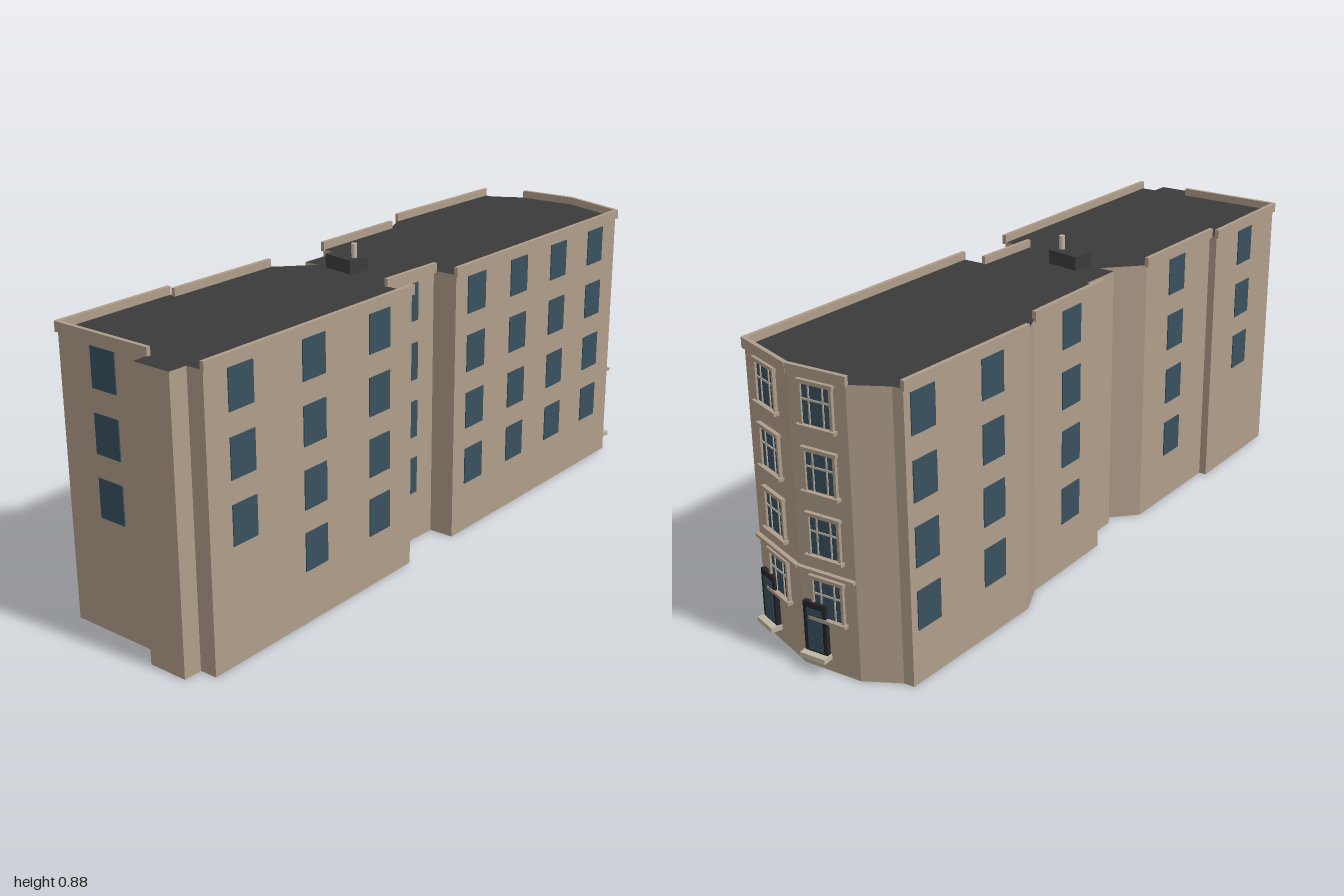
import * as THREE from 'three';

const mat = (name, color, extra = {}) => Object.assign(new THREE.MeshStandardMaterial({ color, ...extra }), { name });

// Footprint corners [x, z], clockwise from above, starting at the back right corner
const PLAN = [
  [-0.385, -0.855], [-0.355, -0.862], [-0.27, -0.93], [-0.10, -0.97], [0.11, -0.937],
  [0.235, -0.075], [0.16, -0.062], [0.183, 0.142], [0.27, 0.132], [0.386, 0.91],
  [0.335, 0.918], [0.342, 0.972], [0.225, 0.99], [0.216, 0.942], [-0.10, 0.99],
  [-0.158, 0.617], [-0.135, 0.613], [-0.187, 0.25], [-0.107, 0.135], [-0.155, 0.142],
  [-0.172, 0.010], [-0.225, 0.012], [-0.273, -0.305], [-0.328, -0.39],
];
const ROOF_Y = 0.803;
const ROWS = [0.732, 0.557, 0.382, 0.207];

export function createModel() {
  const wall = mat('wall stone', 0xb09d8b);
  const dark = mat('roof felt', 0x3b3b3b);
  const glass = mat('window glass', 0x39515f);
  const trim = mat('pale trim', 0xc0b5a4);
  const black = mat('door frame', 0x232527);

  const model = new THREE.Group();
  model.name = 'building';

  const box = (parent, name, material, size, pos) => {
    const m = new THREE.Mesh(new THREE.BoxGeometry(...size), material);
    m.name = name;
    m.position.set(...pos);
    parent.add(m);
    return m;
  };

  // Group on a wall at fraction t: local +z points outward, local x runs along the wall
  const onWall = (edge, t, name) => {
    const [ax, az] = PLAN[edge], [bx, bz] = PLAN[(edge + 1) % PLAN.length];
    const dx = bx - ax, dz = bz - az;
    const g = new THREE.Group();
    g.name = name;
    g.position.set(ax + dx * t, 0, az + dz * t);
    g.rotation.y = Math.atan2(dz, -dx);
    g.userData.length = Math.hypot(dx, dz);
    model.add(g);
    return g;
  };

  // Main block: dark roof and underside, stone walls
  const shape = new THREE.Shape(PLAN.map(([x, z]) => new THREE.Vector2(x, -z)));
  const body = new THREE.ExtrudeGeometry(shape, { depth: ROOF_Y, bevelEnabled: false });
  body.rotateX(-Math.PI / 2);
  const block = new THREE.Mesh(body, [dark, wall]);
  block.name = 'mainBlock';
  model.add(block);

  // Parapets along the principal walls
  for (const edge of [2, 3, 4, 6, 8, 13, 14, 16, 21, 23]) {
    const g = onWall(edge, 0.5, 'parapet');
    box(g, 'parapetWall', wall, [g.userData.length + 0.008, 0.028, 0.012], [0, 0.812, 0.001]);
  }

  // Plain side and front windows: [edge, centre, axis (0 = x, 1 = z), rows]
  const columns = [
    [4, -0.815, 1, 4], [4, -0.602, 1, 4], [4, -0.388, 1, 4], [4, -0.174, 1, 4],
    [6, 0.052, 1, 4],
    [8, 0.27, 1, 4], [8, 0.53, 1, 4], [8, 0.79, 1, 3],
    [13, 0.058, 0, 3],
    [14, 0.80, 1, 3], [16, 0.42, 1, 4], [21, -0.135, 1, 4],
    [23, -0.53, 1, 4], [23, -0.79, 1, 4],
  ];
  for (const [edge, c, axis, rows] of columns) {
    const a = PLAN[edge][axis], b = PLAN[(edge + 1) % PLAN.length][axis];
    const g = onWall(edge, (c - a) / (b - a), 'windowColumn');
    for (const y of ROWS.slice(0, rows)) box(g, 'window', glass, [0.086, 0.11, 0.004], [0, y, 0.001]);
  }

  // Street facade: framed windows, string course, doors and steps on two facets
  for (const [edge, doorT] of [[2, 0.27], [3, 0.76]]) {
    const g = onWall(edge, 0.5, 'facadeFacet');
    box(g, 'stringCourse', wall, [g.userData.length, 0.009, 0.016], [0, 0.282, 0.004]);
    for (const y of ROWS) {
      box(g, 'windowGlass', glass, [0.088, 0.108, 0.004], [0, y, 0.001]);
      for (const s of [-1, 1]) {
        box(g, 'windowJamb', wall, [0.008, 0.116, 0.01], [s * 0.046, y, 0.004]);
        box(g, 'mullion', trim, [0.004, 0.108, 0.005], [s * 0.021, y, 0.003]);
      }
      box(g, 'transom', trim, [0.088, 0.005, 0.005], [0, y + 0.012, 0.003]);
      box(g, 'lintel', wall, [0.108, 0.01, 0.013], [0, y + 0.058, 0.005]);
      box(g, 'sill', wall, [0.114, 0.009, 0.018], [0, y - 0.057, 0.007]);
    }
    const d = onWall(edge, edge === 2 ? 0.73 : doorT, 'entrance');
    box(d, 'doorFrame', black, [0.07, 0.145, 0.014], [0, 0.12, 0.006]);
    box(d, 'doorGlass', glass, [0.046, 0.12, 0.004], [0, 0.115, 0.0125]);
    box(d, 'doorStep', trim, [0.078, 0.014, 0.034], [0, 0.043, 0.015]);
  }

  // Rooftop housing with a flue
  box(model, 'roofHousing', dark, [0.103, 0.043, 0.066], [-0.022, 0.8215, 0.103]);
  const flue = new THREE.Mesh(new THREE.CylinderGeometry(0.0085, 0.0085, 0.042, 12), trim);
  flue.name = 'flue';
  flue.position.set(0.01, 0.862, 0.103);
  model.add(flue);

  return model;
}
